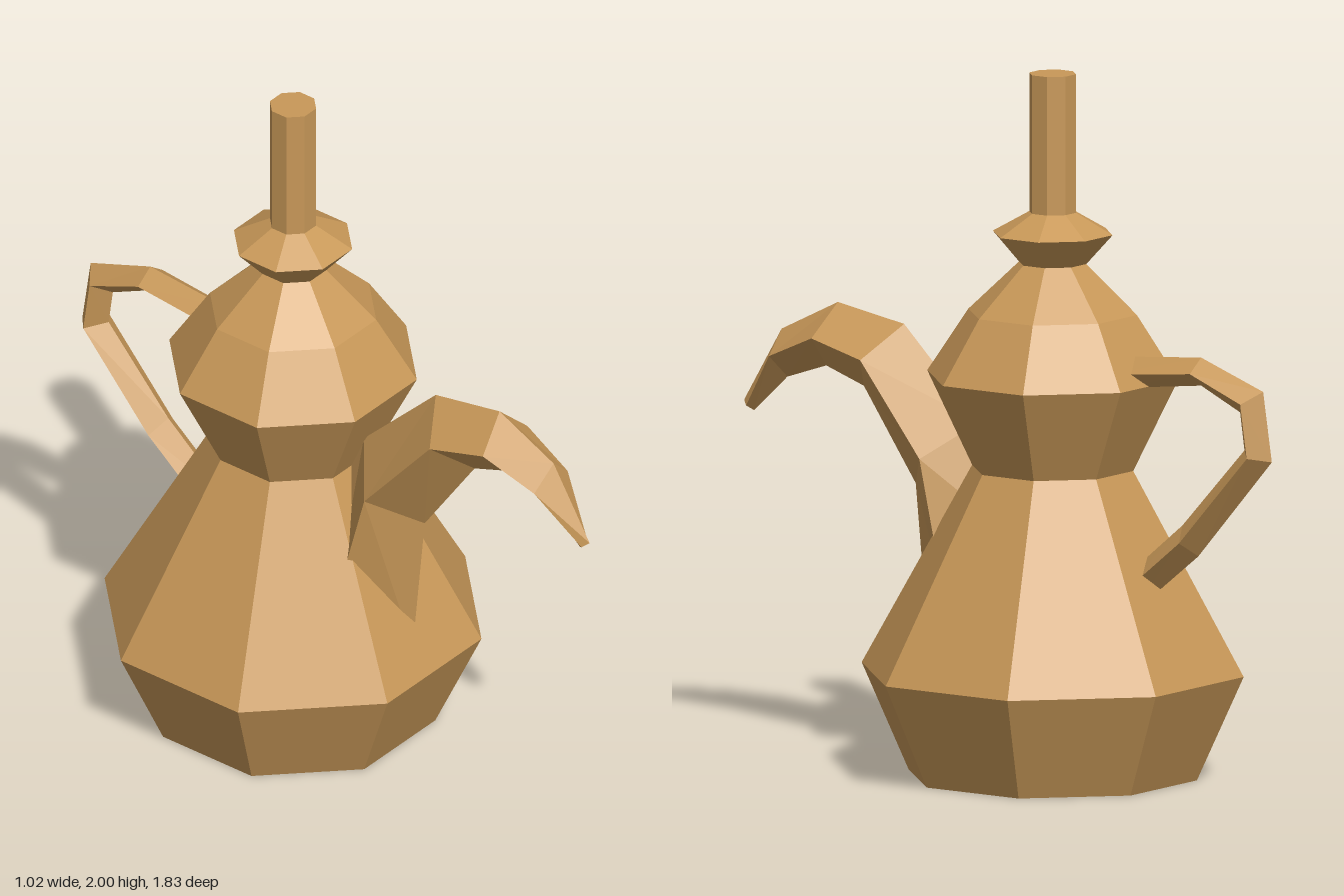
import * as THREE from 'three';

const bodyZ = -0.155;
const copper = new THREE.MeshStandardMaterial({ color: 0xc89858, flatShading: true });
copper.name = 'copper';

// Eight-sided turned part; profile is [flat-to-centre distance, height], bottom to top
function octagonPart(name, profile) {
  const points = profile.map(([r, y]) => new THREE.Vector2(r / Math.cos(Math.PI / 8), y));
  const mesh = new THREE.Mesh(new THREE.LatheGeometry(points, 8, Math.PI / 8), copper);
  mesh.name = name;
  mesh.position.z = bodyZ;
  return mesh;
}

// Diamond-section tube; each row is [outer z, outer y, inner z, inner y, half width]
function diamondTube(name, rows) {
  const rings = rows.map(([z0, y0, z1, y1, w]) => {
    const y = (y0 + y1) / 2, z = (z0 + z1) / 2;
    return [[0, y0, z0], [w, y, z], [0, y1, z1], [-w, y, z]];
  });
  const positions = [];
  const quad = (a, b, c, d) => positions.push(...a, ...b, ...c, ...b, ...d, ...c);
  for (let i = 0; i < rings.length - 1; i++) {
    for (let j = 0; j < 4; j++) {
      const k = (j + 1) % 4;
      quad(rings[i][j], rings[i][k], rings[i + 1][j], rings[i + 1][k]);
    }
  }
  // End caps
  const first = rings[0], last = rings[rings.length - 1];
  quad(first[0], first[3], first[1], first[2]);
  quad(last[0], last[1], last[3], last[2]);
  const geometry = new THREE.BufferGeometry();
  geometry.setAttribute('position', new THREE.Float32BufferAttribute(positions, 3));
  geometry.computeVertexNormals();
  const mesh = new THREE.Mesh(geometry, copper);
  mesh.name = name;
  return mesh;
}

export function createModel() {
  const group = new THREE.Group();
  group.name = 'coffeePot';
  group.add(
    octagonPart('body', [[0, 0], [0.385, 0], [0.51, 0.3], [0.215, 0.875], [0.335, 1.14]]),
    octagonPart('domedLid', [[0.335, 1.14], [0.225, 1.32], [0.09, 1.46]]),
    octagonPart('collar', [[0.09, 1.46], [0.16, 1.545], [0.0625, 1.605]]),
    octagonPart('finial', [[0.0625, 1.605], [0.0625, 2], [0, 2]]),

    // Curved spout, from the drooping tip back into the body
    diamondTube('spout', [
      [0.915, 0.965, 0.88, 0.938, 0.015],
      [0.785, 1.18, 0.765, 1.045, 0.075],
      [0.59, 1.275, 0.63, 1.09, 0.1],
      [0.36, 1.235, 0.5, 1.045, 0.115],
      [0.1, 0.98, 0.32, 0.785, 0.135],
      [-0.05, 0.65, 0.277, 0.35, 0.15],
    ]),

    // Looped handle, from the lid rim down to the lower body
    diamondTube('handle', [
      [-0.38, 1.215, -0.38, 1.125, 0.055],
      [-0.67, 1.24, -0.67, 1.16, 0.055],
      [-0.885, 1.163, -0.805, 1.097, 0.055],
      [-0.915, 0.965, -0.82, 0.99, 0.055],
      [-0.66, 0.672, -0.605, 0.755, 0.055],
      [-0.43, 0.485, -0.39, 0.575, 0.055],
    ]),
  );
  return group;
}
